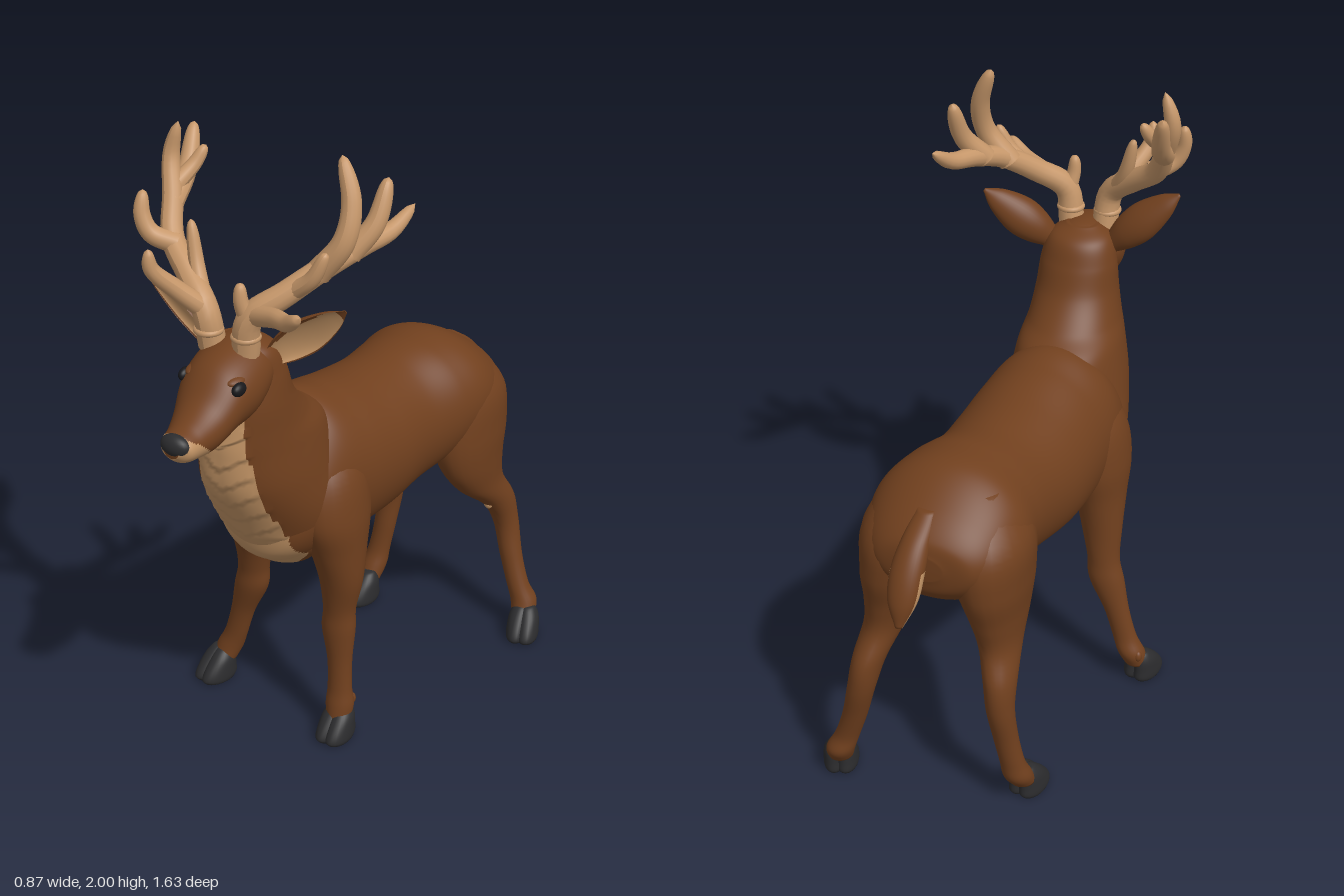
import * as THREE from 'three';

const mat = (name, color) => {
  const m = new THREE.MeshStandardMaterial({ color });
  m.name = name;
  return m;
};
const coat = mat('brown coat', 0x71401e);
const cream = mat('tan fur', 0xbf9163);
const horn = mat('antler tan', 0xc6976a);
const dark = mat('dark hoof', 0x2c2c2e);
const black = mat('black eye', 0x18181b);

const V = (x, y, z) => new THREE.Vector3(x, y, z);

// Elliptical loft. Sections are [x, y, z, halfWidth, halfDepth]; rings lie flat
// (axis 'y') or stand upright (axis 'z'). paint(centre, cos) picks tan faces.
function loft(name, sections, { axis = 'y', rings = 40, sides = 32, paint, warp, materials = [coat, cream] } = {}) {
  const path = new THREE.CatmullRomCurve3(sections.map(s => V(s[0], s[1], s[2])), false, 'catmullrom', 0.5);
  const size = new THREE.CatmullRomCurve3(sections.map(s => V(s[3], s[4], 0)), false, 'catmullrom', 0.5);
  const pts = [];
  for (let i = 0; i <= rings; i++) {
    const c = path.getPoint(i / rings), r = size.getPoint(i / rings);
    for (let j = 0; j < sides; j++) {
      const a = (j / sides) * Math.PI * 2;
      const u = Math.max(r.x, 0.001) * Math.sin(a), w = Math.max(r.y, 0.001) * Math.cos(a);
      const p = axis === 'y' ? V(c.x + u, c.y, c.z + w) : V(c.x + u, c.y + w, c.z);
      if (warp) warp(p, Math.cos(a));
      pts.push(p);
    }
  }
  pts.push(path.getPoint(0), path.getPoint(1));
  const first = sections[0], last = sections[sections.length - 1];
  const flip = axis === 'y' ? last[1] < first[1] : last[2] > first[2];
  const lists = [[], []];
  const tri = (a, b, c, k) => lists[k].push(...(flip ? [a, c, b] : [a, b, c]));
  const end = rings * sides;
  for (let j = 0; j < sides; j++) {
    const n = (j + 1) % sides, cos = Math.cos(((j + 0.5) / sides) * Math.PI * 2);
    for (let i = 0; i < rings; i++) {
      const a = i * sides + j, b = i * sides + n;
      const mid = pts[a].clone().add(pts[b + sides]).multiplyScalar(0.5);
      const k = paint && paint(mid, cos) ? 1 : 0;
      tri(a, b, b + sides, k);
      tri(a, b + sides, a + sides, k);
    }
    tri(pts.length - 2, n, j, 0);
    tri(pts.length - 1, end + j, end + n, 0);
  }
  const g = new THREE.BufferGeometry().setFromPoints(pts);
  g.setIndex([...lists[0], ...lists[1]]);
  g.addGroup(0, lists[0].length, 0);
  g.addGroup(lists[0].length, lists[1].length, 1);
  g.computeVertexNormals();
  const mesh = new THREE.Mesh(g, paint ? materials : materials[0]);
  mesh.name = name;
  return mesh;
}

function ellipsoid(name, material, p, s) {
  const m = new THREE.Mesh(new THREE.SphereGeometry(1, 24, 16), material);
  m.position.set(...p);
  m.scale.set(...s);
  m.name = name;
  return m;
}

// Tapered, round-tipped tube for antler beams and tines
function tine(name, points, radius) {
  const curve = new THREE.CatmullRomCurve3(points.map(p => V(...p)));
  const n = 32, sides = 14;
  const g = new THREE.TubeGeometry(curve, n, 1, sides);
  const pos = g.attributes.position, v = V();
  for (let k = 0; k < pos.count; k++) {
    const t = Math.floor(k / (sides + 1)) / n, c = curve.getPointAt(t);
    const r = radius * (1 - 0.35 * t) * Math.sqrt(Math.max(0, 1 - t ** 9)) + 0.0005;
    v.fromBufferAttribute(pos, k).sub(c).multiplyScalar(r).add(c);
    pos.setXYZ(k, v.x, v.y, v.z);
  }
  g.computeVertexNormals();
  const m = new THREE.Mesh(g, horn);
  m.name = name;
  return m;
}

function antler(name, burr, tines) {
  const g = new THREE.Group();
  g.name = name;
  const ring = new THREE.Mesh(new THREE.TorusGeometry(0.034, 0.01, 10, 24), horn);
  ring.rotation.x = Math.PI / 2;
  ring.position.set(...burr);
  ring.name = 'antlerBurr';
  g.add(ring, ...tines.map(([r, ...pts], i) => tine(i ? 'antlerTine' : 'antlerBeam', pts, r)));
  return g;
}

// Cupped ear; side is +1 for left, -1 for right, and the upper rim stays brown
function ear(name, base, tip, facing, side) {
  const L = base.distanceTo(tip);
  const m = loft(name, [[0, 0, 0, 0.03, 0.025], [0, L * 0.25, 0, 0.054, 0.045], [0, L * 0.5, 0, 0.06, 0.045],
    [0, L * 0.8, 0, 0.038, 0.026], [0, L, 0, 0.005, 0.004]], {
    paint: (p, c) => c > 0.1 && p.x * side > -0.03 && p.y < L * 0.9,
    warp: (p, c) => { if (c > 0) p.z *= -0.55; },
  });
  const y = tip.clone().sub(base).normalize();
  const x = y.clone().cross(facing).normalize();
  m.quaternion.setFromRotationMatrix(new THREE.Matrix4().makeBasis(x, y, x.clone().cross(y)));
  m.position.copy(base);
  return m;
}

// Leg loft with a cloven hoof and dewclaws at [x, z]
function leg(name, sections, [hx, hz], yaw) {
  const g = new THREE.Group();
  g.name = name;
  g.add(loft(name + 'Limb', sections, { rings: 64, sides: 24 }));
  const hoof = new THREE.Group();
  hoof.name = 'hoof';
  hoof.position.set(hx, 0, hz);
  hoof.rotation.y = yaw;
  for (const s of [-1, 1]) {
    const x = s * 0.018;
    hoof.add(loft('hoofToe', [[x, 0.004, 0, 0.034, 0.06], [x, 0.018, 0, 0.037, 0.069], [x, 0.045, -0.006, 0.036, 0.061],
      [x * 0.9, 0.08, -0.02, 0.033, 0.045], [x * 0.7, 0.106, -0.03, 0.022, 0.026], [x * 0.7, 0.112, -0.032, 0.008, 0.01]],
    { rings: 20, sides: 24, materials: [dark] }));
    hoof.add(ellipsoid('dewclaw', coat, [x, 0.115, -0.068], [0.013, 0.02, 0.014]));
  }
  g.add(hoof);
  return g;
}

export function createModel() {
  const deer = new THREE.Group();
  deer.name = 'deer';
  const bib = p => p.y < 1.27 && Math.abs(p.x + 0.055) < 0.08 + 0.09 * (1.24 - p.y)
    && p.z > Math.min(0.45, 0.25 + (p.y - 0.65) * 0.5);
  const belly = (p, cos) => p.z < 0.06 && p.z > -0.39 && cos < -0.76;

  // Trunk, neck and head
  deer.add(loft('body', [
    [0.03, 0.925, -0.71, 0.06, 0.04], [0.03, 0.92, -0.69, 0.15, 0.095], [0.03, 0.92, -0.62, 0.21, 0.155],
    [0.03, 0.94, -0.5, 0.24, 0.2], [0.025, 0.925, -0.38, 0.23, 0.22], [0, 0.9, -0.25, 0.214, 0.23],
    [-0.02, 0.89, -0.1, 0.225, 0.246], [-0.035, 0.9, 0.05, 0.225, 0.262], [-0.05, 0.912, 0.18, 0.215, 0.265],
    [-0.055, 0.87, 0.28, 0.19, 0.215], [-0.055, 0.83, 0.36, 0.13, 0.13], [-0.055, 0.82, 0.39, 0.04, 0.04],
  ], { axis: 'z', rings: 130, sides: 112, paint: (p, c) => bib(p) || belly(p, c) }));
  deer.add(loft('neck', [
    [-0.06, 0.645, 0.2, 0.1, 0.09], [-0.06, 0.72, 0.18, 0.17, 0.18], [-0.06, 0.85, 0.22, 0.2, 0.22],
    [-0.055, 1.0, 0.285, 0.185, 0.238], [-0.05, 1.13, 0.318, 0.162, 0.227], [-0.045, 1.2, 0.367, 0.143, 0.175],
    [-0.04, 1.28, 0.4, 0.13, 0.132], [-0.04, 1.37, 0.41, 0.12, 0.103],
    [-0.04, 1.44, 0.425, 0.1, 0.085], [-0.04, 1.475, 0.44, 0.05, 0.04],
  ], {
    rings: 120, sides: 96, paint: bib,
    // Overlapping chevrons of chest fur
    warp: p => {
      if (!bib(p) || p.y < 0.8) return;
      const f = (p.y - 0.6 * Math.abs(p.x + 0.055)) / 0.072;
      p.z += 0.011 * (1 - (f - Math.floor(f))) - 0.004;
    },
  }));
  deer.add(loft('head', [
    [-0.04, 1.41, 0.36, 0.05, 0.04], [-0.04, 1.392, 0.42, 0.105, 0.088], [-0.036, 1.363, 0.5, 0.118, 0.113],
    [-0.03, 1.342, 0.59, 0.107, 0.102], [-0.022, 1.297, 0.67, 0.083, 0.075], [-0.014, 1.283, 0.74, 0.062, 0.054],
    [-0.01, 1.283, 0.785, 0.052, 0.041], [-0.01, 1.285, 0.808, 0.025, 0.022],
  ], { axis: 'z', rings: 60, sides: 48, paint: p => p.z > 0.7 && p.y < 1.25 + (p.z - 0.7) * 0.85 }));
  deer.add(ellipsoid('nose', dark, [-0.01, 1.294, 0.787], [0.047, 0.033, 0.028]));
  for (const s of [-1, 1]) {
    deer.add(ellipsoid('eye', black, [-0.03 + s * 0.09, 1.394, 0.587], [0.016, 0.02, 0.027]));
    deer.add(ellipsoid('browRidge', coat, [-0.03 + s * 0.066, 1.408, 0.565], [0.026, 0.016, 0.042]));
  }
  deer.add(ear('rightEar', V(-0.13, 1.41, 0.45), V(-0.34, 1.605, 0.465), V(-0.5, -0.3, 1), -1));
  deer.add(ear('leftEar', V(0.05, 1.41, 0.42), V(0.25, 1.578, 0.345), V(0.85, -0.3, 1), 1));

  // Antlers
  deer.add(antler('leftAntler', [0.015, 1.5, 0.485], [
    [0.04, [0.01, 1.45, 0.48], [0.03, 1.56, 0.485], [0.11, 1.63, 0.43], [0.19, 1.7, 0.34], [0.24, 1.735, 0.24], [0.275, 1.755, 0.15], [0.3, 1.81, 0.068]],
    [0.031, [0.04, 1.57, 0.48], [0.14, 1.6, 0.52], [0.2, 1.615, 0.555], [0.255, 1.655, 0.585]],
    [0.026, [0.025, 1.55, 0.485], [0.012, 1.61, 0.5], [0.01, 1.665, 0.5]],
    [0.036, [0.17, 1.68, 0.36], [0.24, 1.78, 0.34], [0.245, 1.88, 0.31], [0.2, 2, 0.285]],
    [0.034, [0.22, 1.72, 0.28], [0.27, 1.8, 0.23], [0.282, 1.92, 0.18]],
    [0.026, [0.13, 1.64, 0.42], [0.19, 1.69, 0.42], [0.23, 1.77, 0.41]],
  ]));
  deer.add(antler('rightAntler', [-0.1, 1.5, 0.5], [
    [0.04, [-0.095, 1.45, 0.49], [-0.11, 1.56, 0.5], [-0.19, 1.63, 0.46], [-0.28, 1.7, 0.41], [-0.32, 1.8, 0.35], [-0.35, 1.9, 0.31], [-0.325, 2, 0.305]],
    [0.031, [-0.11, 1.56, 0.5], [-0.165, 1.63, 0.56], [-0.2, 1.7, 0.615], [-0.2, 1.76, 0.625]],
    [0.026, [-0.12, 1.57, 0.49], [-0.17, 1.66, 0.45], [-0.2, 1.78, 0.43]],
    [0.031, [-0.26, 1.69, 0.42], [-0.32, 1.72, 0.455], [-0.345, 1.77, 0.46], [-0.35, 1.84, 0.445]],
    [0.033, [-0.315, 1.78, 0.36], [-0.33, 1.84, 0.27], [-0.355, 1.96, 0.19]],
    [0.026, [-0.325, 1.82, 0.33], [-0.3, 1.87, 0.27], [-0.28, 1.92, 0.24]],
  ]));

  // Front legs
  deer.add(leg('frontRightLeg', [
    [-0.15, 1.06, 0.14, 0.05, 0.07], [-0.18, 0.95, 0.16, 0.095, 0.13], [-0.2, 0.82, 0.165, 0.1, 0.14],
    [-0.215, 0.7, 0.15, 0.082, 0.1], [-0.23, 0.58, 0.125, 0.066, 0.062], [-0.243, 0.47, 0.11, 0.053, 0.047],
    [-0.257, 0.39, 0.105, 0.058, 0.047], [-0.295, 0.28, 0.1, 0.042, 0.035], [-0.325, 0.18, 0.1, 0.04, 0.033],
    [-0.35, 0.12, 0.1, 0.045, 0.042], [-0.365, 0.07, 0.115, 0.04, 0.04]], [-0.38, 0.15], -0.25));
  deer.add(leg('frontLeftLeg', [
    [0.05, 1.06, 0.14, 0.05, 0.07], [0.08, 0.95, 0.16, 0.095, 0.13], [0.1, 0.82, 0.17, 0.1, 0.14],
    [0.115, 0.7, 0.17, 0.085, 0.1], [0.125, 0.58, 0.17, 0.07, 0.065], [0.118, 0.47, 0.167, 0.053, 0.048],
    [0.115, 0.39, 0.167, 0.055, 0.047], [0.122, 0.28, 0.172, 0.041, 0.036], [0.126, 0.18, 0.178, 0.04, 0.034],
    [0.128, 0.12, 0.18, 0.046, 0.043], [0.13, 0.07, 0.19, 0.04, 0.04]], [0.13, 0.21], 0));

  // Hind legs
  deer.add(leg('hindLeftLeg', [
    [0.13, 1.09, -0.48, 0.05, 0.07], [0.155, 0.96, -0.515, 0.118, 0.165], [0.18, 0.82, -0.515, 0.108, 0.178],
    [0.198, 0.7, -0.515, 0.085, 0.15], [0.215, 0.6, -0.55, 0.064, 0.108], [0.24, 0.5, -0.635, 0.05, 0.073],
    [0.258, 0.4, -0.668, 0.043, 0.047], [0.288, 0.28, -0.66, 0.039, 0.037], [0.322, 0.18, -0.652, 0.039, 0.036],
    [0.347, 0.12, -0.655, 0.045, 0.045], [0.36, 0.07, -0.635, 0.04, 0.04]], [0.375, -0.603], 0.3));
  deer.add(leg('hindRightLeg', [
    [-0.08, 1.09, -0.48, 0.05, 0.07], [-0.1, 0.96, -0.51, 0.118, 0.165], [-0.115, 0.82, -0.51, 0.108, 0.175],
    [-0.125, 0.7, -0.505, 0.085, 0.145], [-0.138, 0.6, -0.53, 0.064, 0.1], [-0.16, 0.5, -0.595, 0.05, 0.068],
    [-0.168, 0.4, -0.618, 0.043, 0.047], [-0.18, 0.28, -0.605, 0.039, 0.037], [-0.195, 0.18, -0.592, 0.039, 0.036],
    [-0.205, 0.12, -0.575, 0.045, 0.045], [-0.21, 0.07, -0.545, 0.04, 0.04]], [-0.215, -0.497], -0.2));
  for (const [x, y, z] of [[0.242, 0.505, -0.565], [-0.168, 0.493, -0.534]]) {
    deer.add(ellipsoid('hockTuft', cream, [x, y, z], [0.015, 0.015, 0.01]));
  }

  // Tail with tan underside
  deer.add(loft('tail', [
    [0.045, 1.07, -0.61, 0.03, 0.03], [0.052, 1.01, -0.68, 0.042, 0.045], [0.058, 0.94, -0.735, 0.05, 0.045],
    [0.06, 0.86, -0.775, 0.045, 0.037], [0.06, 0.785, -0.808, 0.012, 0.01],
  ], { paint: (p, c) => p.y < 0.94 && c > -0.35 }));
  return deer;
}
